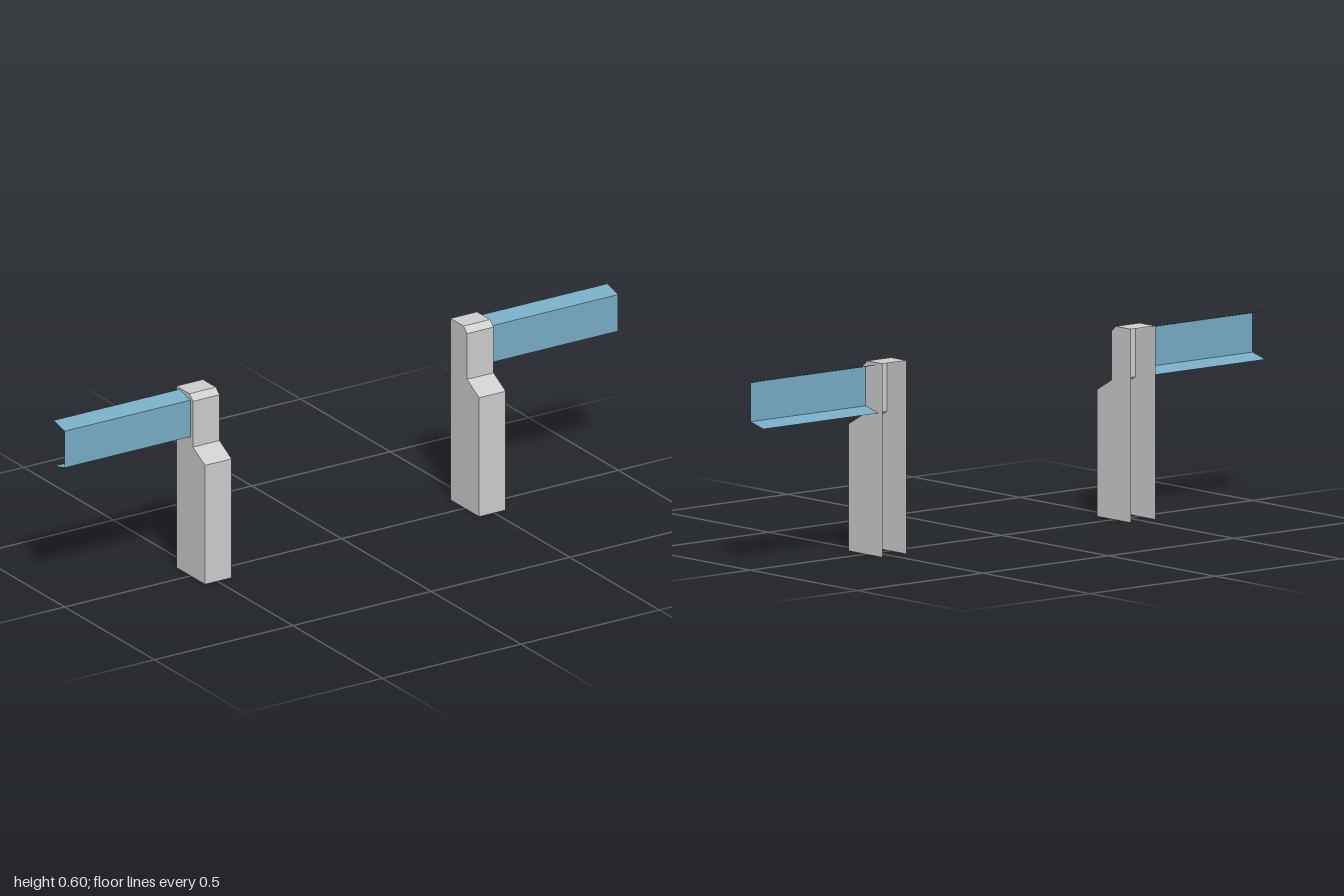
import * as THREE from 'three';

const postGrey = new THREE.MeshStandardMaterial({ color: 0xcccccc, side: THREE.DoubleSide });
postGrey.name = 'postGrey';
const railBlue = new THREE.MeshStandardMaterial({ color: 0x77abc6, side: THREE.DoubleSide });
railBlue.name = 'railBlue';

// Folded sheet: a [z, y] profile swept along x, with one flat face per fold.
// The profile runs so that the outside lies towards +z and up.
function foldedSheet(profile, x0, x1) {
  const pos = [];
  for (let i = 0; i < profile.length - 1; i++) {
    const [za, ya] = profile[i];
    const [zb, yb] = profile[i + 1];
    pos.push(x0, ya, za, x1, ya, za, x1, yb, zb);
    pos.push(x0, ya, za, x1, yb, zb, x0, yb, zb);
  }
  const geo = new THREE.BufferGeometry();
  geo.setAttribute('position', new THREE.Float32BufferAttribute(pos, 3));
  geo.computeVertexNormals();
  return geo;
}

function addMesh(parent, name, geometry, material) {
  const mesh = new THREE.Mesh(geometry, material);
  mesh.name = name;
  parent.add(mesh);
  return mesh;
}

// Post outline from the front foot up over the neck to the top rear edge
const postProfile = [
  [0.08, 0], [0.08, 0.39], [0.013, 0.427], [0.013, 0.577], [-0.007, 0.595], [-0.08, 0.595],
];

// Channel rail: upright web with splayed flanges pointing back
const railProfile = [[-0.061, 0.441], [-0.001, 0.456], [-0.001, 0.576], [-0.061, 0.591]];

// Post shell, open at the back and the bottom
function createPost(name, x0, x1) {
  const post = new THREE.Group();
  post.name = name;
  addMesh(post, 'postFront', foldedSheet(postProfile, x0, x1), postGrey);
  const outline = new THREE.Shape(
    [...postProfile, [-0.08, 0]].map(([z, y]) => new THREE.Vector2(z, y)));
  // Each cheek faces outward from the post
  const rightCheek = new THREE.ShapeGeometry(outline).rotateY(-Math.PI / 2);
  addMesh(post, 'postCheek', rightCheek, postGrey).position.x = x0;
  const mirrored = new THREE.Shape(
    [...postProfile, [-0.08, 0]].map(([z, y]) => new THREE.Vector2(-z, y)));
  const leftCheek = new THREE.ShapeGeometry(mirrored).rotateY(Math.PI / 2);
  addMesh(post, 'postCheek', leftCheek, postGrey).position.x = x1;
  return post;
}

export function createModel() {
  const model = new THREE.Group();
  model.name = 'railEnds';

  // Two posts, each with a rail running outward
  model.add(createPost('leftPost', 0.445, 0.541));
  model.add(createPost('rightPost', -0.545, -0.449));
  addMesh(model, 'leftRail', foldedSheet(railProfile, 0.541, 1), railBlue);
  addMesh(model, 'rightRail', foldedSheet(railProfile, -1, -0.545), railBlue);

  return model;
}
